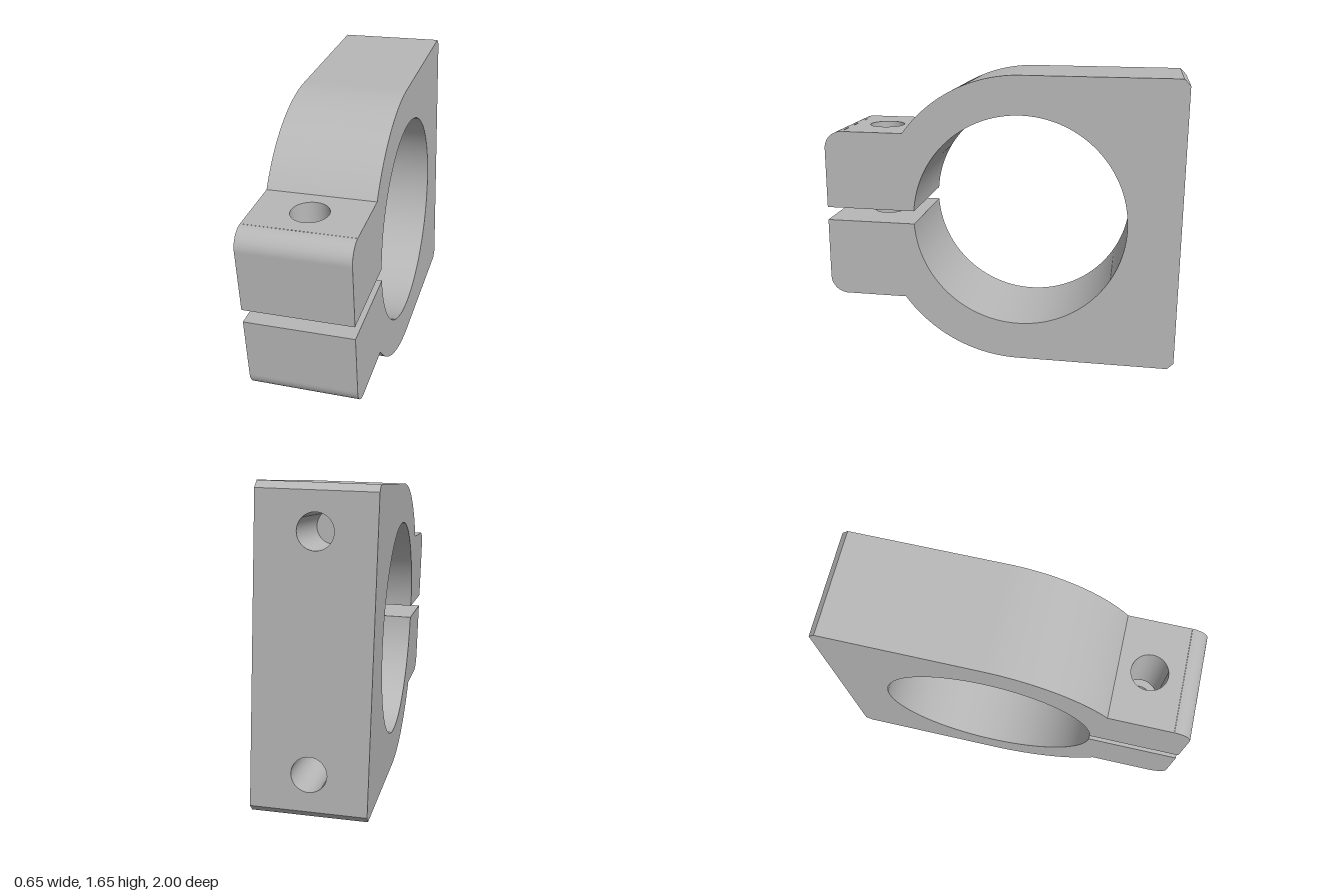
import * as THREE from 'three';
import { toCreasedNormals } from 'three/addons/utils/BufferGeometryUtils.js';

const W = 0.59, H = 0.815, BORE = 0.6, BORE_Z = -0.11;   // width, half height, bore
const EAR = 0.48, GAP = 0.0375, FILLET = 0.1, CHAMFER = 0.035;
const SCREW_Z = 0.72, SCREW_R = 0.1, LOWER_R = 0.085, SINK_R = 0.144, SINK_Y = -0.23;
const MOUNT_Y = 0.59, MOUNT_R = 0.09, MOUNT_DEPTH = 0.42;
const earZ = BORE_Z + Math.sqrt(H * H - EAR * EAR);
const gapZ = BORE_Z + Math.sqrt(BORE * BORE - GAP * GAP);

// Clamp outline, drawn as (z, y) and extruded across the width
function bodyGeometry() {
  const s = new THREE.Shape();
  const a = Math.asin(EAR / H), b = Math.asin(GAP / BORE);
  s.moveTo(-1, -H + CHAMFER);
  s.lineTo(-1 + CHAMFER, -H);
  s.lineTo(BORE_Z, -H);
  s.absarc(BORE_Z, 0, H, -Math.PI / 2, -a, false);
  s.lineTo(1 - FILLET, -EAR);
  s.absarc(1 - FILLET, -EAR + FILLET, FILLET, -Math.PI / 2, 0, false);
  s.lineTo(1, -GAP);
  s.lineTo(gapZ, -GAP);
  s.absarc(BORE_Z, 0, BORE, -b, -2 * Math.PI + b, true);
  s.lineTo(1, GAP);
  s.lineTo(1, EAR - FILLET);
  s.absarc(1 - FILLET, EAR - FILLET, FILLET, 0, Math.PI / 2, false);
  s.lineTo(earZ, EAR);
  s.absarc(BORE_Z, 0, H, a, Math.PI / 2, false);
  s.lineTo(-1 + CHAMFER, H);
  s.lineTo(-1, H - CHAMFER);
  s.closePath();
  let g = new THREE.ExtrudeGeometry(s, { depth: W, bevelEnabled: false, curveSegments: 64 });
  g.translate(0, 0, -W / 2).rotateY(-Math.PI / 2);
  if (g.index) g = g.toNonIndexed();

  // Leave out the flat faces that are replaced by drilled ones
  const p = g.attributes.position, kept = [];
  const t = new THREE.Triangle(), n = new THREE.Vector3(), c = new THREE.Vector3();
  for (let i = 0; i < p.count; i += 3) {
    t.setFromAttributeAndIndices(p, i, i + 1, i + 2);
    t.getNormal(n);
    t.getMidpoint(c);
    const back = c.z < -0.999;
    const ear = Math.abs(n.y) > 0.9999 && c.z > 0.5;
    if (!back && !ear) kept.push(...t.a.toArray(), ...t.b.toArray(), ...t.c.toArray());
  }
  const out = new THREE.BufferGeometry();
  out.setAttribute('position', new THREE.Float32BufferAttribute(kept, 3));
  return toCreasedNormals(out, 0.4);
}

// Rectangle from v0 to v1, full width, with round holes on its centre line
function drilledFace(v0, v1, holes, r) {
  const s = new THREE.Shape();
  s.moveTo(-W / 2, v0).lineTo(W / 2, v0).lineTo(W / 2, v1).lineTo(-W / 2, v1).closePath();
  for (const v of holes) s.holes.push(new THREE.Path().absarc(0, v, r, 0, Math.PI * 2, true));
  return new THREE.ShapeGeometry(s, 24);
}

export function createModel() {
  const metal = new THREE.MeshStandardMaterial({ color: 0xb8b8b8, side: THREE.DoubleSide });
  metal.name = 'plain grey metal';
  const model = new THREE.Group();
  model.name = 'shaftClamp';
  const clamp = new THREE.Group();
  clamp.name = 'clamp';
  model.add(clamp);
  const add = (name, geometry) => {
    const m = new THREE.Mesh(geometry, metal);
    m.name = name;
    clamp.add(m);
  };

  add('body', bodyGeometry());

  // Ear faces: side +1 looks up, -1 looks down
  const earFace = (name, y, side, z0, z1, r) => {
    const [v0, v1] = side > 0 ? [-z1, -z0] : [z0, z1];
    const g = drilledFace(v0, v1, [-side * SCREW_Z], r);
    add(name, g.rotateX(-side * Math.PI / 2).translate(0, y, 0));
  };
  earFace('upperEarTop', EAR, 1, earZ, 1 - FILLET, SCREW_R);
  earFace('upperEarGapFace', GAP, -1, gapZ, 1, SCREW_R);
  earFace('lowerEarGapFace', -GAP, 1, gapZ, 1, LOWER_R);
  earFace('lowerEarBottom', -EAR, -1, earZ, 1 - FILLET, SINK_R);

  // Clamp screw hole walls, counterbored from below
  const bore = (name, r, y0, y1) => add(name,
    new THREE.CylinderGeometry(r, r, y1 - y0, 48, 1, true).translate(0, (y0 + y1) / 2, SCREW_Z));
  bore('upperScrewHole', SCREW_R, GAP, EAR);
  bore('lowerScrewHole', LOWER_R, SINK_Y, -GAP);
  bore('counterbore', SINK_R, -EAR, SINK_Y);
  add('counterboreSeat', new THREE.RingGeometry(LOWER_R, SINK_R, 48)
    .rotateX(Math.PI / 2).translate(0, SINK_Y, SCREW_Z));

  // Back face with two blind mounting holes
  add('backFace', drilledFace(-H + CHAMFER, H - CHAMFER, [-MOUNT_Y, MOUNT_Y], MOUNT_R)
    .rotateY(Math.PI).translate(0, 0, -1));
  for (const y of [-MOUNT_Y, MOUNT_Y]) {
    add('mountingHole', new THREE.CylinderGeometry(MOUNT_R, MOUNT_R, MOUNT_DEPTH, 48, 1, true)
      .rotateX(Math.PI / 2).translate(0, y, -1 + MOUNT_DEPTH / 2));
    add('mountingHoleFloor', new THREE.CircleGeometry(MOUNT_R, 48)
      .rotateY(Math.PI).translate(0, y, -1 + MOUNT_DEPTH));
  }

  // The clamp leans slightly to one side
  clamp.rotation.z = THREE.MathUtils.degToRad(2);
  clamp.position.y = 0.825;
  return model;
}
